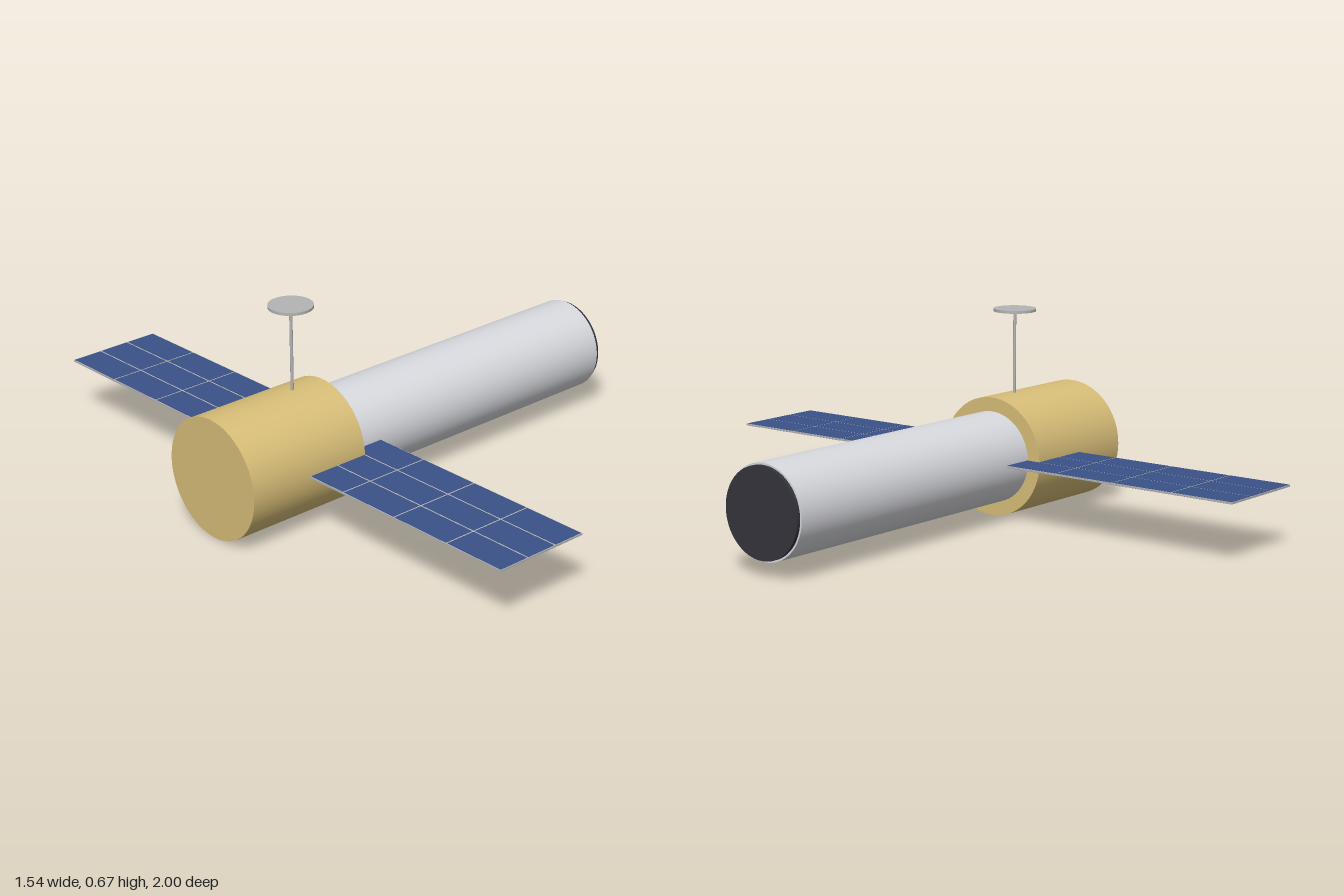
import * as THREE from 'three';

const mat = (color) => new THREE.MeshStandardMaterial({ color });
const AXIS_Y = 0.196;

export function createModel() {
  const model = new THREE.Group();
  model.name = 'spaceTelescope';
  const gold = mat(0xd8be78), silver = mat(0xd8d9de), dark = mat(0x34343c);
  const grey = mat(0xb4b4b4), blue = mat(0x3a5288);

  function add(parent, name, geometry, material, x, y, z) {
    const mesh = new THREE.Mesh(geometry, material);
    mesh.name = name;
    mesh.position.set(x, y, z);
    parent.add(mesh);
    return mesh;
  }

  // Cylinder lying along x, from x0 to x1
  function barrel(name, radius, x0, x1, material) {
    const geometry = new THREE.CylinderGeometry(radius, radius, x1 - x0, 64).rotateZ(-Math.PI / 2);
    return add(model, name, geometry, material, (x0 + x1) / 2, AXIS_Y, 0);
  }

  barrel('serviceModule', 0.196, -0.77, -0.33, gold);
  barrel('telescopeTube', 0.15, -0.34, 0.755, silver);
  barrel('apertureCover', 0.144, 0.75, 0.768, dark);

  // Antenna mast and dish
  add(model, 'antennaMast', new THREE.CylinderGeometry(0.005, 0.005, 0.285, 16), grey, -0.45, 0.5225, 0);
  add(model, 'antennaDish', new THREE.CylinderGeometry(0.07, 0.07, 0.009, 48), grey, -0.45, 0.668, 0);

  // Solar wings: a thin frame with cells raised on both faces
  const cols = 3, rows = 4, width = 0.33, length = 0.88, gap = 0.006;
  const cellW = width / cols, cellL = length / rows;
  const cellGeometry = new THREE.BoxGeometry(cellW - gap, 0.008, cellL - gap);
  for (const side of [1, -1]) {
    const wing = new THREE.Group();
    wing.name = side > 0 ? 'frontSolarWing' : 'backSolarWing';
    wing.position.set(-0.385, AXIS_Y + 0.002, side * (1 - length / 2));
    add(wing, 'wingFrame', new THREE.BoxGeometry(width, 0.006, length), grey, 0, 0, 0);
    for (let i = 0; i < cols; i++) {
      for (let j = 0; j < rows; j++) {
        add(wing, 'solarCell', cellGeometry, blue,
          (i + 0.5) * cellW - width / 2, 0, (j + 0.5) * cellL - length / 2);
      }
    }
    model.add(wing);
  }
  return model;
}
